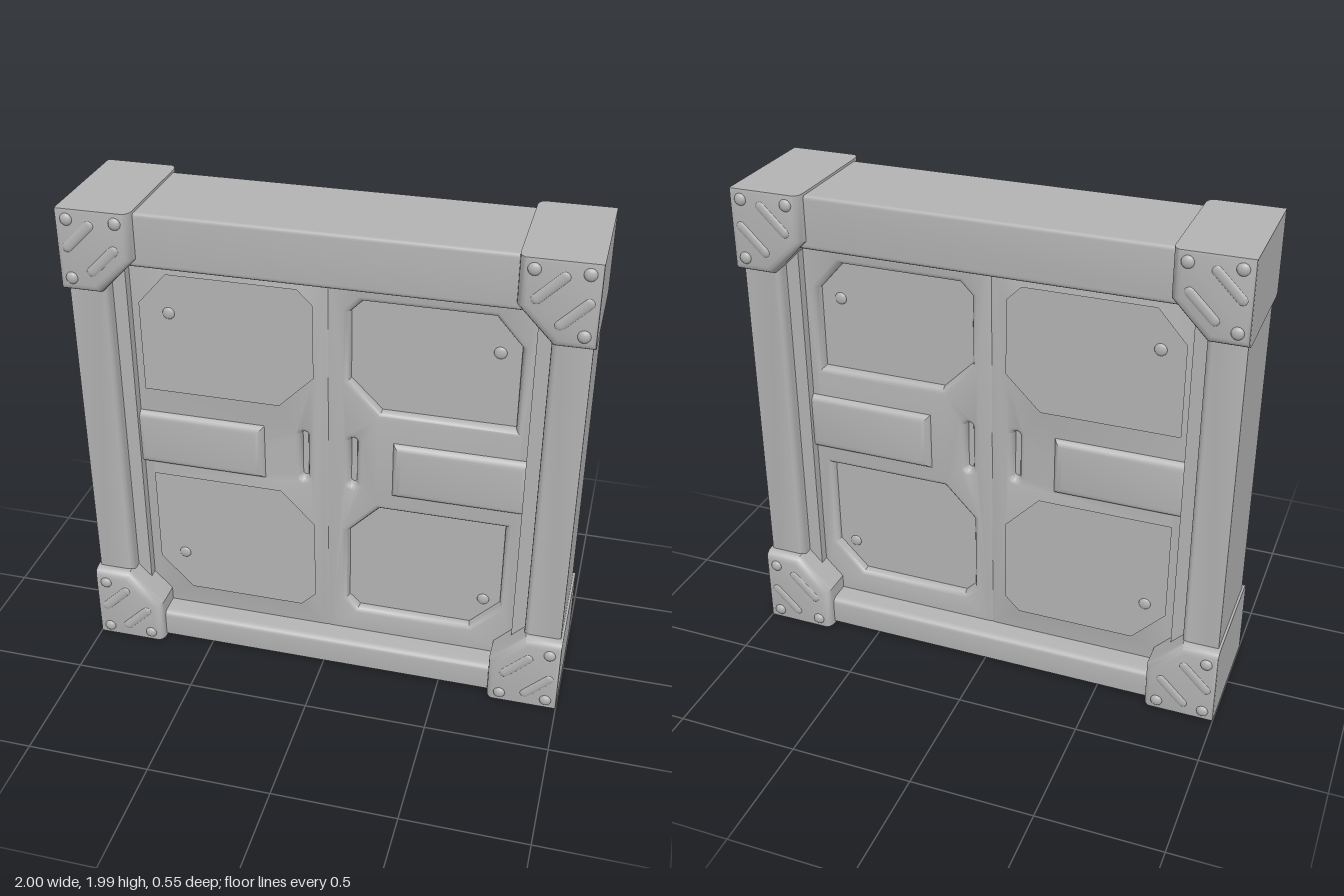
import * as THREE from 'three';
import { toCreasedNormals } from 'three/addons/utils/BufferGeometryUtils.js';

const grey = new THREE.MeshStandardMaterial({ color: 0xb2b2b2 });
grey.name = 'grey metal';

const points = (list) => list.map(([x, y]) => new THREE.Vector2(x, y));
const rect = (x0, y0, x1, y1) => [[x0, y0], [x1, y0], [x1, y1], [x0, y1]];

// Solid centred on z = 0; front and back faces at +-halfDepth, edges swell by bevel
function slab(outline, holes, halfDepth, bevel, thickness, limit = 1) {
  const shape = new THREE.Shape(points(outline));
  holes.forEach((h) => shape.holes.push(h.isPath ? h : new THREE.Path(points(h))));
  const depth = 2 * (halfDepth - thickness);
  const geo = new THREE.ExtrudeGeometry(shape, {
    depth, bevelEnabled: true, bevelSize: bevel, bevelThickness: thickness, bevelSegments: 4, curveSegments: 8,
  });
  geo.translate(0, 0, -depth / 2);
  // Outer sides are cut flat
  const p = geo.attributes.position;
  for (let i = 0; i < p.count; i++) {
    p.setX(i, THREE.MathUtils.clamp(p.getX(i), -limit, limit));
    p.setY(i, THREE.MathUtils.clamp(p.getY(i), 1 - limit, 0.99 + limit));
  }
  return toCreasedNormals(geo, 0.7);
}

// Rounded vertical slot used for the door grips
function slot(cx, y0, y1, r) {
  const path = new THREE.Path();
  path.absarc(cx, y1 - r, r, 0, Math.PI, false);
  path.absarc(cx, y0 + r, r, Math.PI, 2 * Math.PI, false);
  path.closePath();
  path.isPath = true;
  return path;
}

export function createModel() {
  const model = new THREE.Group();
  model.name = 'doubleDoor';
  const add = (name, geo, x = 0, y = 0, z = 0) => {
    const mesh = new THREE.Mesh(geo, grey);
    mesh.name = name;
    mesh.position.set(x, y, z);
    model.add(mesh);
    return mesh;
  };

  // Outer frame with a soft inner edge
  add('frame', slab(rect(-0.98, 0.02, 0.98, 1.965), [rect(-0.865, 0.105, 0.865, 1.785)], 0.22, 0.025, 0.03, 0.99));

  // Core behind the sunken panels
  add('doorCore', new THREE.BoxGeometry(1.7, 1.7, 0.17), 0, 0.945, 0);

  const rivetGeo = new THREE.SphereGeometry(0.025, 12, 8);
  const stripeGeo = new THREE.CapsuleGeometry(0.022, 0.13, 4, 10);

  for (const s of [-1, 1]) {
    const side = s > 0 ? 'left' : 'right';
    const mir = (list) => list.map(([x, y]) => [s * x, y]);

    // Stepped jamb beside the door
    add(side + 'Jamb', new THREE.BoxGeometry(0.08, 1.66, 0.32), s * 0.825, 0.945, 0);

    // Door leaf with two chamfered panels and a grip slot
    const upper = [[0.06, 1.33], [0.2, 1.19], [0.755, 1.19], [0.755, 1.57], [0.64, 1.7], [0.12, 1.7], [0.06, 1.64]];
    const lower = [[0.06, 0.28], [0.12, 0.22], [0.61, 0.22], [0.745, 0.36], [0.745, 0.785], [0.2, 0.785], [0.06, 0.64]];
    add(side + 'Door', slab(mir(rect(0.01, 0.11, 0.79, 1.78)),
      [mir(upper), mir(lower), slot(s * 0.1, 0.84, 1.1, 0.037)], 0.12, 0.025, 0.036));

    // Raised cross band
    add(side + 'Band', slab(mir(rect(0.3, 0.88, 0.77, 1.05)), [], 0.145, 0.04, 0.04, 0.99));

    for (const f of [-1, 1]) {
      // Small studs in the panel corners
      for (const y of [0.37, 1.52]) add('panelStud', rivetGeo, s * 0.65, y, f * 0.085).scale.z = 0.4;
    }

    for (const top of [false, true]) {
      // Corner bracket with a diagonal inner edge
      const place = top ? (y) => 1.99 - y : (y) => y;
      const outline = [[0.745, 0.01], [0.985, 0.01], [0.985, 0.3], [0.865, 0.3], [0.745, 0.175]];
      const name = (top ? 'upper' : 'lower') + (s > 0 ? 'Left' : 'Right');
      add(name + 'Bracket', slab(outline.map(([x, y]) => [s * x, place(y)]), [], 0.262, 0.035, 0.04));

      for (const f of [-1, 1]) {
        // Diagonal ridges
        for (const d of [-0.045, 0.045]) {
          const ridge = add('bracketRidge', stripeGeo, s * 0.87 + d, place(0.15) - d, f * 0.258);
          ridge.rotation.z = -Math.PI / 4;
          ridge.scale.z = 0.45;
        }
        // Bolts
        for (const [x, y] of [[0.955, 0.04], [0.955, 0.275], [0.765, 0.04]]) {
          add('bracketBolt', rivetGeo, s * x, place(y), f * 0.26).scale.z = 0.6;
        }
      }
    }
  }
  return model;
}
